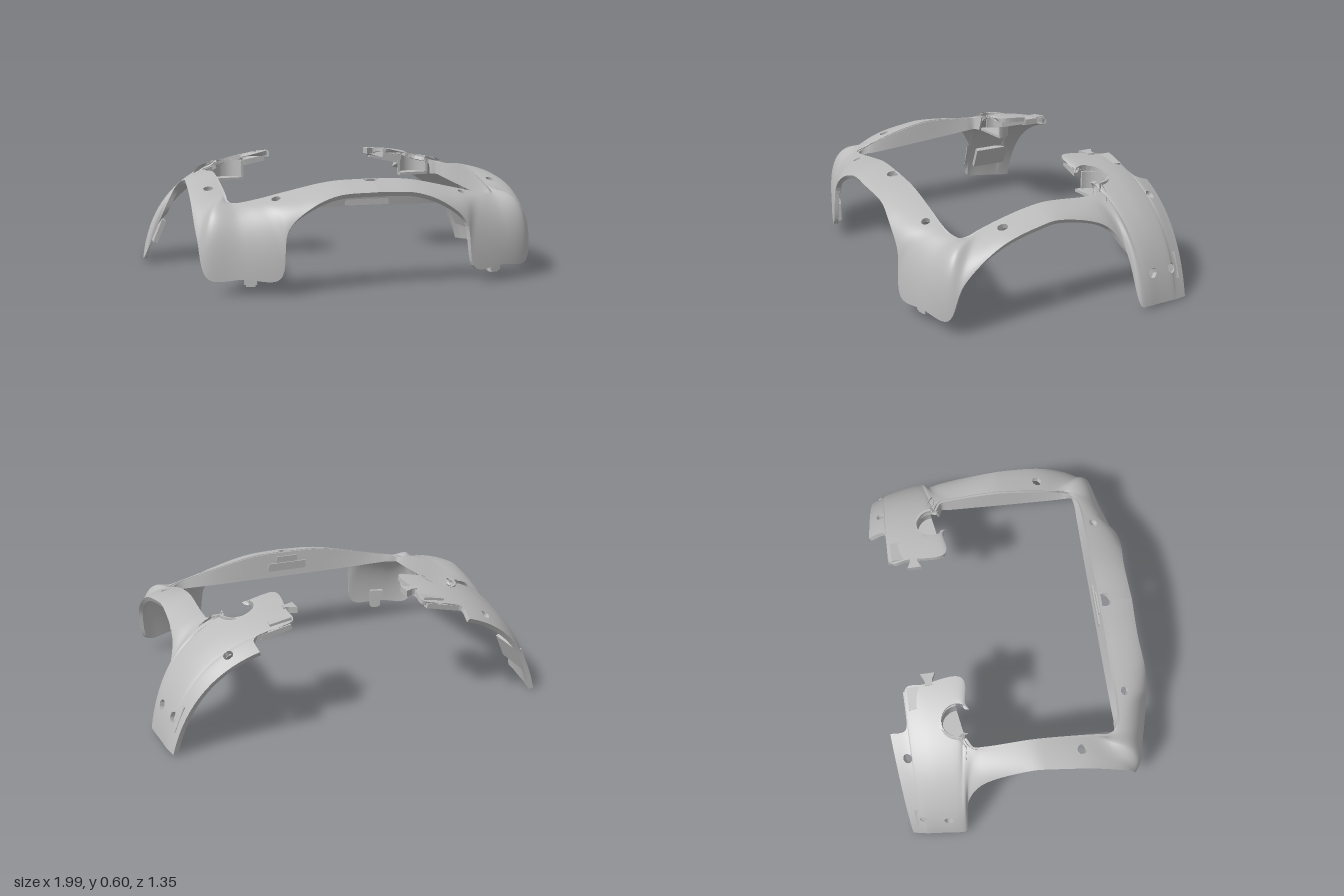
import * as THREE from 'three';

const V = (p) => new THREE.Vector3(...p);

// Sections of the half frame: window edge, free edge, roundness
const FRONT = [
  [[0, .52, .48], [0, .472, .645], .65],
  [[.2, .512, .48], [.2, .46, .64], .65],
  [[.42, .468, .48], [.34, .405, .655], .75],
  [[.54, .44, .48], [.445, .31, .66], .85],
  [[.62, .425, .472], [.49, .085, .668], .95],
  [[.672, .42, .445], [.65, .085, .625], .95],
  [[.69, .425, .4], [.81, .085, .565], 1.12],
  [[.69, .445, .35], [.848, .27, .5], .8],
];
const SIDE = [
  [[.69, .478, .25], [.845, .42, .315], .7],
  [[.69, .515, .1], [.832, .48, .1], .65],
  [[.69, .527, 0], [.826, .487, 0], .65],
  [[.69, .512, -.22], [.842, .415, -.245], .7],
  [[.682, .512, -.28], [.885, .295, -.33], .7],
  [[.63, .525, -.315], [.995, .03, -.37], .82],
];
const REAR = [
  [[.34, .6, -.285], [.995, .025, -.41], .9],
  [[.34, .58, -.48], [.986, .02, -.48], .9],
  [[.34, .56, -.568], [.976, .014, -.566], .88],
  [[.54, .51, -.595], [.972, .012, -.588], .8],
  [[.54, .475, -.675], [.96, .01, -.645], .78],
];

// A section runs out level first, then turns down; roundness .5 is straight
function section([inner, outer, k]) {
  const mix = (i, t) => inner[i] + (outer[i] - inner[i]) * t;
  return new THREE.QuadraticBezierCurve3(V(inner), V([mix(0, k), mix(1, 1 - k), mix(2, k)]), V(outer));
}

// Screw holes: centre and radius
const HOLES = [
  [[.48, .447, .525], .022], [[.75, .475, .255], .025], [[.67, .44, -.6], .024],
  [[.938, .17, -.445], .025], [[.928, .165, -.57], .025],
];
// Half-round cut-outs seen from above
const NOTCHES = [[[.54, 0, -.335], .08], [[0, 0, .495], .035]];

// Thick shell through section curves; s = -1 mirrors it
function shell(lines, nu, nv, thick, s, holes = [], notches = []) {
  const pts = [], NU = (lines.length - 1) * nu;
  const id = (i, j) => i * (nv + 1) + j;
  for (let j = 0; j <= nv; j++) {
    const rail = new THREE.CatmullRomCurve3(lines.map((c) => c.getPoint(j / nv)));
    for (let i = 0; i <= NU; i++) pts[id(i, j)] = rail.getPoint(i / NU);
  }
  // Normals of the uncut surface, used for the offset
  const tris = [];
  for (let i = 0; i < NU; i++) for (let j = 0; j < nv; j++) {
    const a = id(i, j), b = id(i, j + 1), c = id(i + 1, j), d = id(i + 1, j + 1);
    tris.push([a, b, c], [c, b, d]);
  }
  const base = new THREE.BufferGeometry().setFromPoints(pts);
  base.setIndex(tris.flat());
  base.computeVertexNormals();
  const nrm = pts.map((_, k) => new THREE.Vector3().fromBufferAttribute(base.attributes.normal, k));
  // Snap points inside a hole to its rim and drop the faces within
  const cut = new Array(pts.length).fill(false);
  const carve = (centre, r, flat) => pts.forEach((p, k) => {
    const d = p.clone().sub(centre);
    if (flat) d.y = 0;
    const len = d.length();
    if (len >= r) return;
    cut[k] = true;
    if (len > 1e-5) p.add(d.multiplyScalar(r / len - 1));
  });
  for (const [c, r] of holes) {
    const target = V(c);
    const near = pts.reduce((m, p) => (p.distanceTo(target) < m.distanceTo(target) ? p : m));
    carve(near.clone(), r, false);
  }
  for (const [c, r] of notches) carve(V(c), r, true);
  const kept = tris.filter((t) => !t.every((k) => cut[k]));

  const pos = [], idx = [], N = pts.length;
  const put = (p) => pos.push(p.x * s, p.y, p.z) / 3 - 1;
  const face = (a, b, c) => (s > 0 ? idx.push(a, b, c) : idx.push(a, c, b));
  const under = pts.map((p, k) => p.clone().addScaledVector(nrm[k], -thick));
  pts.forEach(put);
  under.forEach(put);
  const edges = new Set();
  for (const [a, b, c] of kept) {
    face(a, b, c);
    face(a + N, c + N, b + N);
    for (const [p, q] of [[a, b], [b, c], [c, a]]) edges.add(p * N + q);
  }
  // Close the rim, except on the centre seam
  for (const e of edges) {
    const a = Math.floor(e / N), b = e % N;
    if (edges.has(b * N + a) || (Math.abs(pts[a].x) < 1e-4 && Math.abs(pts[b].x) < 1e-4)) continue;
    const [A, B, C, D] = [pts[a], pts[b], under[a], under[b]].map(put);
    face(B, A, C);
    face(B, C, D);
  }
  const g = new THREE.BufferGeometry();
  g.setAttribute('position', new THREE.Float32BufferAttribute(pos, 3));
  g.setIndex(idx);
  g.computeVertexNormals();
  return g;
}

// Upright extrusion of a shape drawn in plan
function slab(shape, depth) {
  const g = new THREE.ExtrudeGeometry(shape, { depth, bevelEnabled: false, curveSegments: 24 });
  return g.rotateX(-Math.PI / 2);
}

export function createModel() {
  const model = new THREE.Group();
  model.name = 'curvedFrame';
  const grey = new THREE.MeshStandardMaterial({ color: 0xbbbbbb });
  grey.name = 'grey plastic';
  const add = (name, geo, x = 0, y = 0, z = 0, rz = 0, ry = 0) => {
    const m = new THREE.Mesh(geo, grey);
    m.name = name;
    m.position.set(x, y, z);
    m.rotation.set(0, ry, rz);
    model.add(m);
  };
  const box = (w, h, d) => new THREE.BoxGeometry(w, h, d);

  const frame = [...FRONT, ...SIDE, ...REAR].map(section);
  // Inner wall of the window, falling to a slightly tilted plane
  const wall = [...FRONT, ...SIDE].map(([[x, y, z]]) => {
    const zb = THREE.MathUtils.clamp(z, -.3, .457);
    return new THREE.LineCurve3(V([x, y - .004, z]), V([Math.min(x, .672), .42 - .08 * zb, zb]));
  });

  for (const s of [1, -1]) {
    const side = s > 0 ? 'left' : 'right';
    add(side + 'FrameShell', shell(frame, 10, 56, .024, s, HOLES, NOTCHES));
    add(side + 'WindowWall', shell(wall, 6, 2, .012, s));

    // Half-round cup at the front edge of the rear arm
    const cup = new THREE.Shape();
    cup.absarc(0, 0, .09, 0, Math.PI, false);
    cup.absarc(0, 0, .078, Math.PI, 0, true);
    add(side + 'CupWall', slab(cup, .1), s * .54, .445, -.335);
    const floor = new THREE.Shape();
    floor.moveTo(.09, -.03);
    floor.absarc(0, 0, .09, 0, Math.PI, false);
    floor.lineTo(-.09, -.03);
    add(side + 'CupFloor', slab(floor, .015), s * .54, .44, -.335);

    // Stepped ledges under the arm end and a dovetail tab
    add(side + 'ArmLedge', box(.11, .03, .27), s * .397, .55, -.43, s * -.2);
    add(side + 'ArmBackLedge', box(.2, .025, .03), s * .45, .515, -.57, s * -.22);
    const half = [[.35, .018], [.325, .018], [.288, .036]];
    const outline = [...half, ...half.map(([x, y]) => [x, -y]).reverse()];
    const tab = new THREE.Shape(outline.map(([x, y]) => new THREE.Vector2(x * s, y)));
    add(side + 'DovetailTab', slab(tab, .032), 0, .557, -.452);

    // Locating pin and its boss inside the front leg
    add(side + 'FrontPin', box(.06, .05, .036), s * .615, .082, .602, 0, s * .27);
    add(side + 'FrontPinFoot', box(.044, .012, .028), s * .615, .054, .602, 0, s * .27);
    add(side + 'FrontPinBoss', box(.075, .06, .03), s * .62, .125, .598, 0, s * .27);

    // Backing plate inside the rear leg
    add(side + 'RearLegPlate', box(.024, .13, .22), s * .905, .165, -.505, s * .4);
  }

  // Clip bracket at the middle of the front bar
  add('frontBracket', box(.22, .075, .012), 0, .425, .457);
  add('frontBracketTop', box(.12, .035, .02), 0, .48, .468);
  return model;
}
